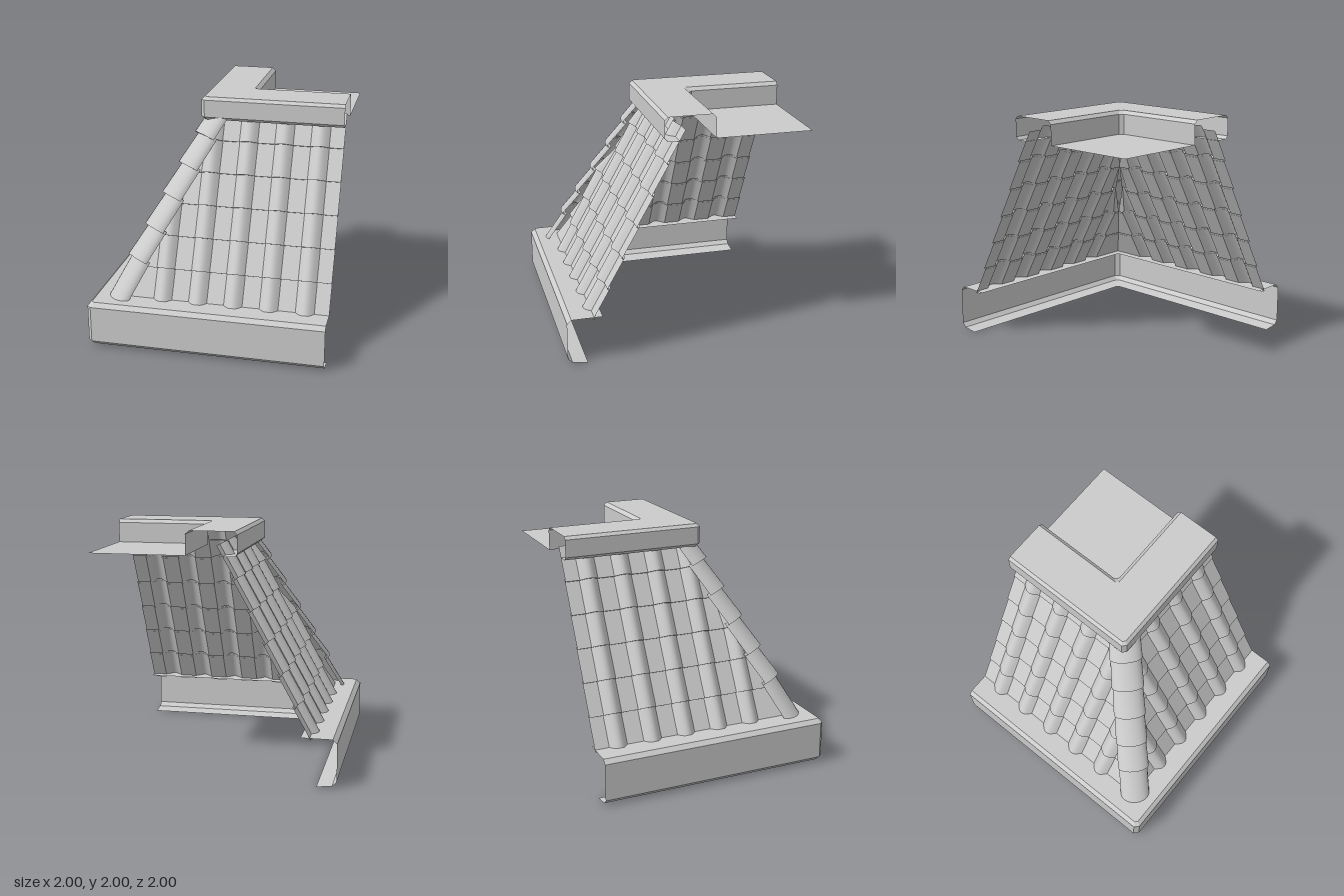
import * as THREE from 'three';
import { toCreasedNormals } from 'three/addons/utils/BufferGeometryUtils.js';

const material = new THREE.MeshStandardMaterial({ color: 0xcccccc, side: THREE.DoubleSide });

// Skin through a list of rings; each ring runs left to right seen from outside.
function loft(name, rings, crease = 0.6) {
  const n = rings[0].length;
  const index = [];
  for (let r = 0; r < rings.length - 1; r++) {
    for (let i = 0; i < n - 1; i++) {
      const a = r * n + i, c = a + n;
      index.push(a, a + 1, c, a + 1, c + 1, c);
    }
  }
  const points = rings.flat();
  const kept = [];
  for (let i = 0; i < index.length; i += 3) {
    const [a, b, c] = index.slice(i, i + 3).map((k) => points[k]);
    if (new THREE.Triangle(a, b, c).getArea() > 1e-7) kept.push(...index.slice(i, i + 3));
  }
  const geometry = new THREE.BufferGeometry().setFromPoints(points);
  geometry.setIndex(kept);
  const mesh = new THREE.Mesh(toCreasedNormals(geometry, crease), material);
  mesh.name = name;
  return mesh;
}

// Sweep a profile of [offset, height, corner chamfer] round the L-shaped corner.
function cornerSweep(name, profile) {
  return loft(name, profile.map(([o, y, c]) => [
    new THREE.Vector3(-o, y, -1),
    new THREE.Vector3(-o, y, o - c),
    new THREE.Vector3(-o + c, y, o),
    new THREE.Vector3(1, y, o),
  ]), 0.1);
}

const STEEP = 2.07; // rise over run of the roof faces
const BASE_Z = 0.775, BASE_Y = 0.37;

// One sloping face: six overlapping courses with round rolls, cut on the hip line.
function roofFace() {
  const face = new THREE.Group();
  face.name = 'roofFace';
  const angle = Math.atan(STEEP), cos = Math.cos(angle), sin = Math.sin(angle);
  const columns = [[-0.8, 0]];
  for (let k = 0; k < 5; k++) {
    for (let i = 0; i <= 10; i++) {
      columns.push([-0.478 + 0.3 * k + 0.0156 * i, 0]);
    }
  }
  columns.push([1, 0]);
  const roll = (x) => {
    const u = (x + 0.478) / 0.3;
    const f = (u - Math.floor(u)) * 0.3 / 0.156;
    return u >= 0 && f < 1 ? 0.05 * Math.sin(Math.PI * f) : 0;
  };
  const ring = (t, lift) => {
    const limit = -(BASE_Z - t * cos + lift * sin);
    return columns.map(([u]) => {
      const x = Math.max(u, limit);
      const h = lift + roll(x);
      return new THREE.Vector3(x, BASE_Y + t * sin + h * cos, BASE_Z - t * cos + h * sin);
    });
  };
  for (let k = 0; k < 6; k++) {
    const low = 0.25 * k / sin;
    const high = (0.25 * (k + 1) + 0.02) / sin;
    face.add(loft('tileCourse', [ring(low, 0), ring(low, 0.018), ring(high, 0)]));
  }
  return face;
}

// Arched cover tiles running up the hip between the two faces.
function hip() {
  const group = new THREE.Group();
  group.name = 'hip';
  const angle = Math.atan(STEEP / Math.SQRT2), cos = Math.cos(angle), sin = Math.sin(angle);
  const ring = (y0, lift) => {
    const d0 = (0.795 - (y0 - 0.33) / STEEP) * Math.SQRT2;
    const points = [];
    for (let i = 0; i <= 10; i++) {
      const a = Math.PI * i / 10;
      const s = -(0.125 + lift * 0.3) * Math.cos(a);
      const h = 0.075 * Math.sin(a) + lift;
      const d = d0 + h * sin;
      points.push(new THREE.Vector3((s - d) / Math.SQRT2, y0 + h * cos, (s + d) / Math.SQRT2));
    }
    return points;
  };
  const starts = [0.33, 0.67, 0.91, 1.16, 1.4, 1.64, 1.87];
  for (let k = 0; k < 6; k++) {
    const lift = k ? 0.033 : 0.008;
    group.add(loft('hipTile', [
      ring(starts[k], 0), ring(starts[k], lift), ring(starts[k + 1] + 0.02, 0),
    ]));
  }
  group.position.set(0.012, 0, 0.012);
  return group;
}

export function createModel() {
  const model = new THREE.Group();
  model.name = 'roofCorner';

  // Boxed eaves at the foot of the roof
  model.add(cornerSweep('eaves', [
    [0.84, 0, 0.02], [0.965, 0.015, 0.02], [1, 0.05, 0.035],
    [1, 0.36, 0.035], [0.965, 0.395, 0.02], [0.71, 0.395, 0.02],
  ]));

  // Coping on top, with its inner wall and the flat deck behind
  model.add(cornerSweep('copingAndDeck', [
    [0.08, 1.805, 0.02], [0.18, 1.805, 0.02], [0.205, 1.83, 0.03],
    [0.205, 1.975, 0.03], [0.18, 2, 0.02], [-0.178, 2, 0.02],
    [-0.208, 1.972, 0.03], [-0.208, 1.805, 0.03], [-1, 1.805, 0],
  ]));

  // Two mirrored faces and the hip
  const front = roofFace();
  const side = front.clone();
  side.rotation.y = -Math.PI / 2;
  side.scale.x = -1;
  model.add(front, side, hip());
  return model;
}
